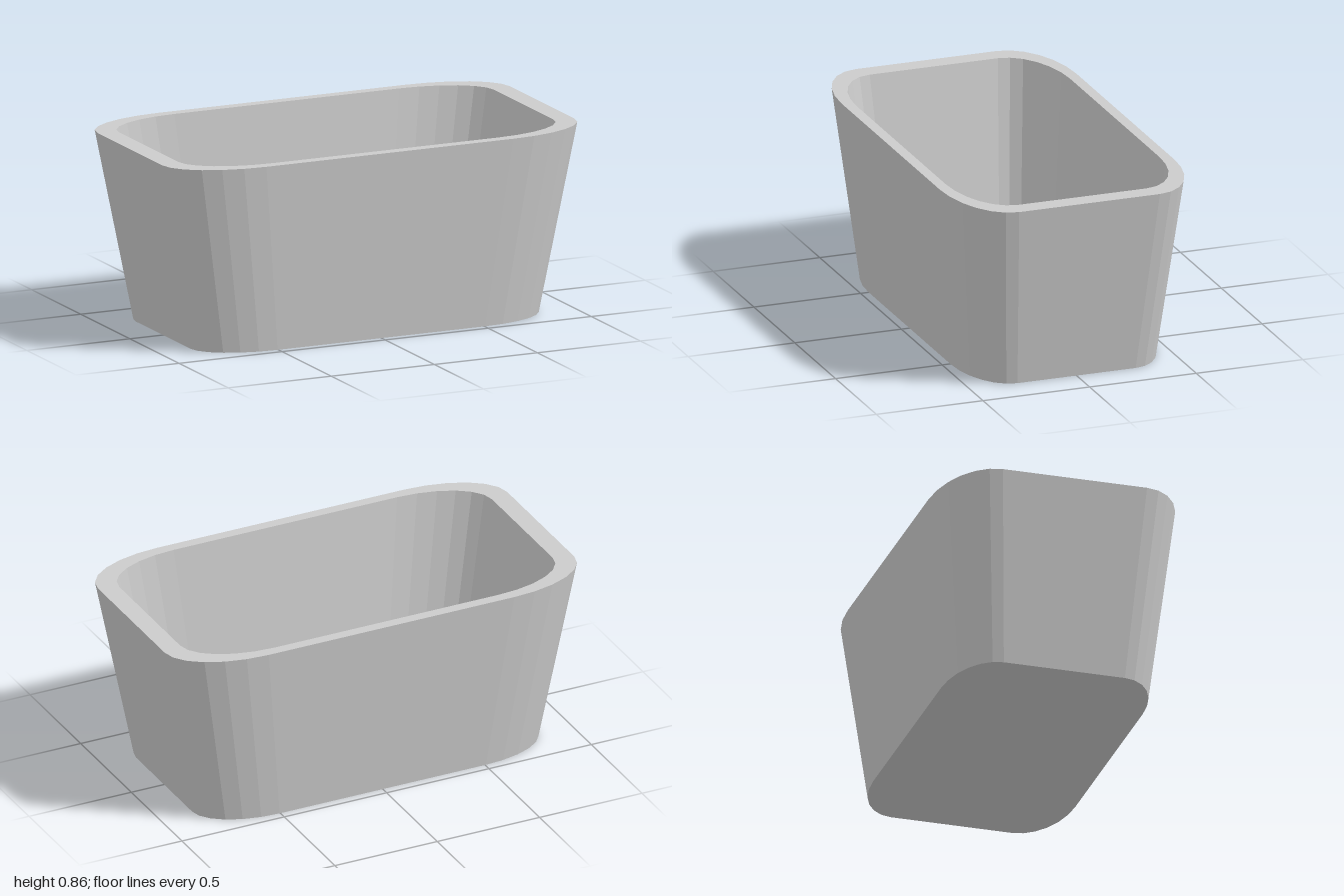
import * as THREE from 'three';

const HEIGHT = 0.855, FLOOR = 0.075;
const HALF_X = 1, HALF_Z = 0.55, CORNER = 0.4, CORNER_STEPS = 6;

// Rounded rectangle outline, running from +x towards +z
function outline() {
  const points = [];
  for (let q = 0; q < 4; q++) {
    const sx = q === 0 || q === 3 ? 1 : -1;
    const sz = q < 2 ? 1 : -1;
    for (let i = 0; i <= CORNER_STEPS; i++) {
      const a = (q + i / CORNER_STEPS) * Math.PI / 2;
      points.push([
        HALF_X * (sx * (1 - CORNER) + CORNER * Math.cos(a)),
        HALF_Z * (sz * (1 - CORNER) + CORNER * Math.sin(a)),
      ]);
    }
  }
  return points;
}

// Skin between scaled copies of the outline; each section is [scale, y]
function loft(sections) {
  const ring = outline(), n = ring.length, positions = [];
  const put = ([scale, y], i) => {
    const [x, z] = ring[i % n];
    positions.push(x * scale, y, z * scale);
  };
  for (let s = 0; s < sections.length - 1; s++) {
    const lower = sections[s], upper = sections[s + 1];
    for (let i = 0; i < n; i++) {
      if (upper[0] > 0) { put(lower, i); put(upper, i); put(upper, i + 1); }
      if (lower[0] > 0) { put(lower, i); put(upper, i + 1); put(lower, i + 1); }
    }
  }
  const geometry = new THREE.BufferGeometry();
  geometry.setAttribute('position', new THREE.Float32BufferAttribute(positions, 3));
  geometry.computeVertexNormals();
  return geometry;
}

export function createModel() {
  const group = new THREE.Group();
  group.name = 'planter';
  const material = new THREE.MeshStandardMaterial({ color: 0xcccccc, flatShading: true });
  const addPart = (name, sections) => {
    const mesh = new THREE.Mesh(loft(sections), material);
    mesh.name = name;
    group.add(mesh);
  };

  // Underside and flared outer wall
  addPart('outerShell', [[0, 0], [0.84, 0], [1, HEIGHT]]);
  // Flat rim
  addPart('rim', [[1, HEIGHT], [0.91, HEIGHT]]);
  // Inner wall and floor
  addPart('innerBasin', [[0.91, HEIGHT], [0.777, FLOOR], [0, FLOOR]]);
  return group;
}
